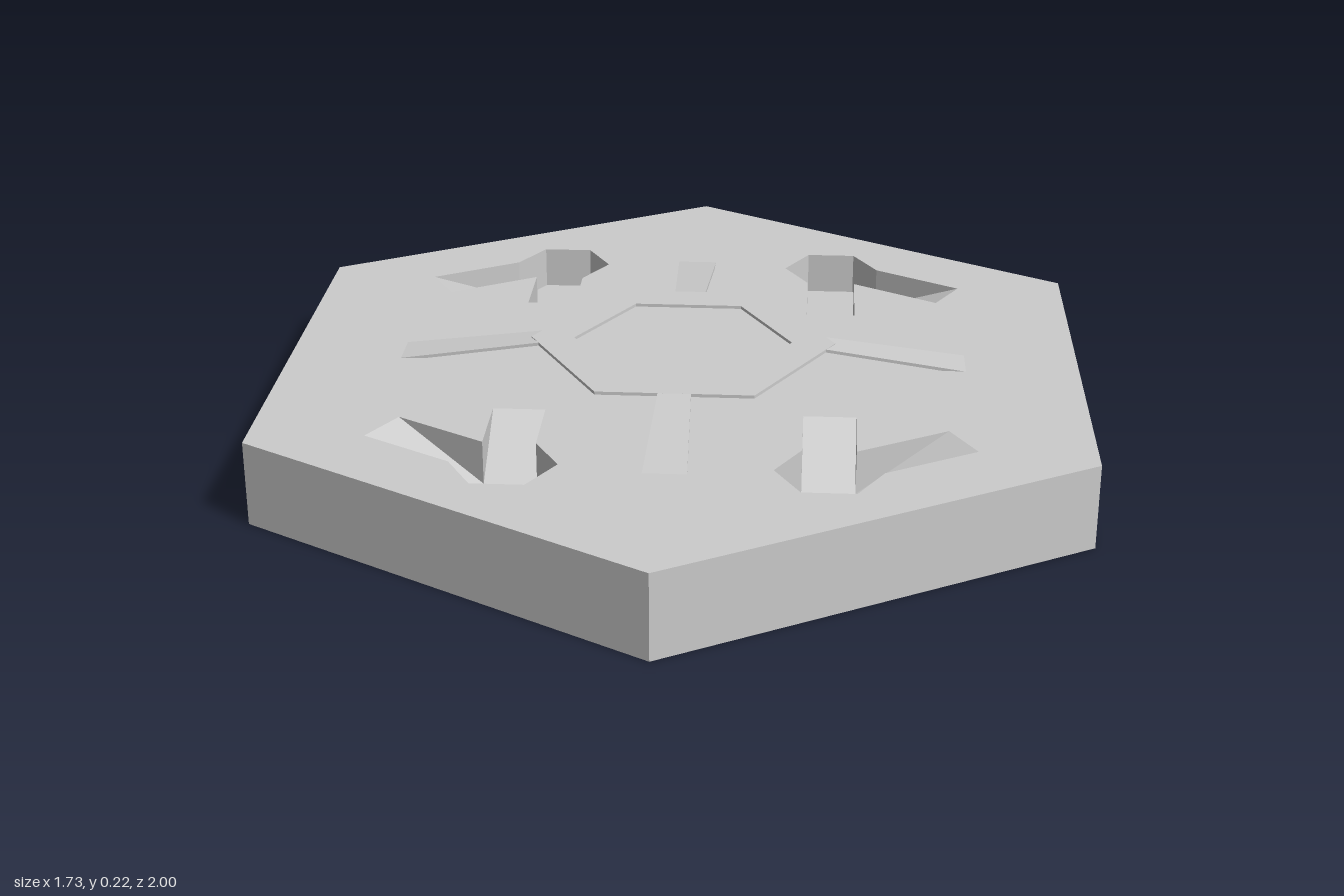
import * as THREE from 'three';

const TOP = 0.185;      // plate thickness
const FLOOR = 0.09;     // pit floor height
const CEIL = 0.08;      // underside recess height
const material = new THREE.MeshStandardMaterial({ color: 0xcccccc, flatShading: true, side: THREE.DoubleSide });

// Hexagon as [x, z] pairs
function hexagon(cx, cz, r, turn = 0) {
  return Array.from({ length: 6 }, (_, k) => {
    const a = turn + (k * Math.PI) / 3;
    return [cx + r * Math.cos(a), cz + r * Math.sin(a)];
  });
}

// Geometry from convex polygons, each a loop of [x, y, z]
function surface(polygons, flip) {
  const out = [];
  for (const p of polygons) {
    const loop = flip ? [...p].reverse() : p;
    for (let i = 1; i < loop.length - 1; i++) out.push(...loop[0], ...loop[i], ...loop[i + 1]);
  }
  const g = new THREE.BufferGeometry();
  g.setAttribute('position', new THREE.Float32BufferAttribute(out, 3));
  g.computeVertexNormals();
  return g;
}

const at = (p, y) => [p[0], y, p[1]];
const wall = (p, q, y0, y1) => [at(p, y0), at(q, y0), at(q, y1), at(p, y1)];

// Flat face with holes; side is 1 for upward, -1 for downward
function face(outline, holes, side) {
  const v = (loop) => loop.map(([x, z]) => new THREE.Vector2(x, -side * z));
  const shape = new THREE.Shape(v(outline));
  for (const h of holes) shape.holes.push(new THREE.Path(v(h)));
  return new THREE.ShapeGeometry(shape).rotateX((-side * Math.PI) / 2);
}

// Elbow pit with two ramps rising to the top surface
function pit(sx, sz) {
  const m = ([x, z]) => [x * sx, z * sz];
  const h = hexagon(0.325, 0.56, 0.11);
  const reach = sx > 0 && sz < 0 ? 0.2 : 0.165;
  const back = ([x, z]) => [x, z - reach];
  const out = ([x, z]) => [x + 0.19, z - 0.11];
  const elbow = h.map(m);
  const ramps = [
    [elbow[4], m(back(h[4])), m(back(h[5])), elbow[5]],
    [elbow[5], m(out(h[5])), m(out(h[0])), elbow[0]],
  ];
  const polys = [elbow.map((p) => at(p, FLOOR))];
  for (let i = 0; i < 4; i++) polys.push(wall(elbow[i], elbow[i + 1], TOP, FLOOR));
  for (const [a, ta, tb, b] of ramps) {
    polys.push([at(a, FLOOR), at(ta, TOP), at(tb, TOP), at(b, FLOOR)]);
    polys.push([at(a, TOP), at(ta, TOP), at(a, FLOOR)]);
    polys.push([at(tb, TOP), at(b, TOP), at(b, FLOOR)]);
  }
  return {
    geometry: surface(polys, sx * sz > 0),
    outline: [...elbow.slice(0, 5), ramps[0][1], ramps[0][2], elbow[5], ramps[1][1], ramps[1][2]],
  };
}

// Thin tapered arm sloping from the ring down into the plate
function arm(start, end) {
  const g = new THREE.BoxGeometry(1, 1, 1);
  const p = g.attributes.position;
  const mix = THREE.MathUtils.lerp;
  for (let i = 0; i < p.count; i++) {
    const t = p.getZ(i) + 0.5;
    p.setXYZ(i, p.getX(i) * mix(0.07, 0.09, t), mix(0.2215, 0.1815, t) + p.getY(i) * 0.007, mix(start, end, t));
  }
  g.computeVertexNormals();
  return g;
}

export function createModel() {
  const model = new THREE.Group();
  const add = (name, geometry) => {
    const mesh = new THREE.Mesh(geometry, material);
    mesh.name = name;
    model.add(mesh);
    return mesh;
  };
  const outline = hexagon(0, 0, 1, Math.PI / 2);

  // Pits in the top, and hexagonal recesses below two of them
  const pits = [], recesses = [];
  for (const sx of [1, -1]) for (const sz of [1, -1]) {
    const one = pit(sx, sz);
    pits.push(one.outline);
    add('elbowPit', one.geometry);
    if (sx * sz < 0) {
      const h = hexagon(0.325, 0.56, 0.1).map(([x, z]) => [x * sx, z * sz]);
      recesses.push(h);
      const polys = h.map((p, i) => wall(p, h[(i + 1) % 6], 0, CEIL));
      polys.push(h.map((p) => at(p, CEIL)));
      add('undersideRecess', surface(polys, true));
    }
  }

  // Hexagonal plate
  add('plateSides', new THREE.CylinderGeometry(1, 1, TOP, 6, 1, true)).position.y = TOP / 2;
  add('plateTop', face(outline, pits, 1)).position.y = TOP;
  add('plateBottom', face(outline, recesses, -1));

  // Thin hexagonal ring held above the plate
  const toPath = (loop) => loop.map(([x, z]) => new THREE.Vector2(x, z));
  const ring = new THREE.Shape(toPath(hexagon(0, 0, 0.335)));
  ring.holes.push(new THREE.Path(toPath(hexagon(0, 0, 0.24))));
  const ringGeometry = new THREE.ExtrudeGeometry(ring, { depth: 0.007, bevelEnabled: false });
  add('raisedRing', ringGeometry.rotateX(-Math.PI / 2)).position.y = 0.218;

  // Four sloping arms
  for (let k = 0; k < 4; k++) {
    const g = k % 2 ? arm(0.315, 0.62) : arm(0.29, 0.59);
    add('slopingArm', g).rotation.y = (k * Math.PI) / 2;
  }
  return model;
}
